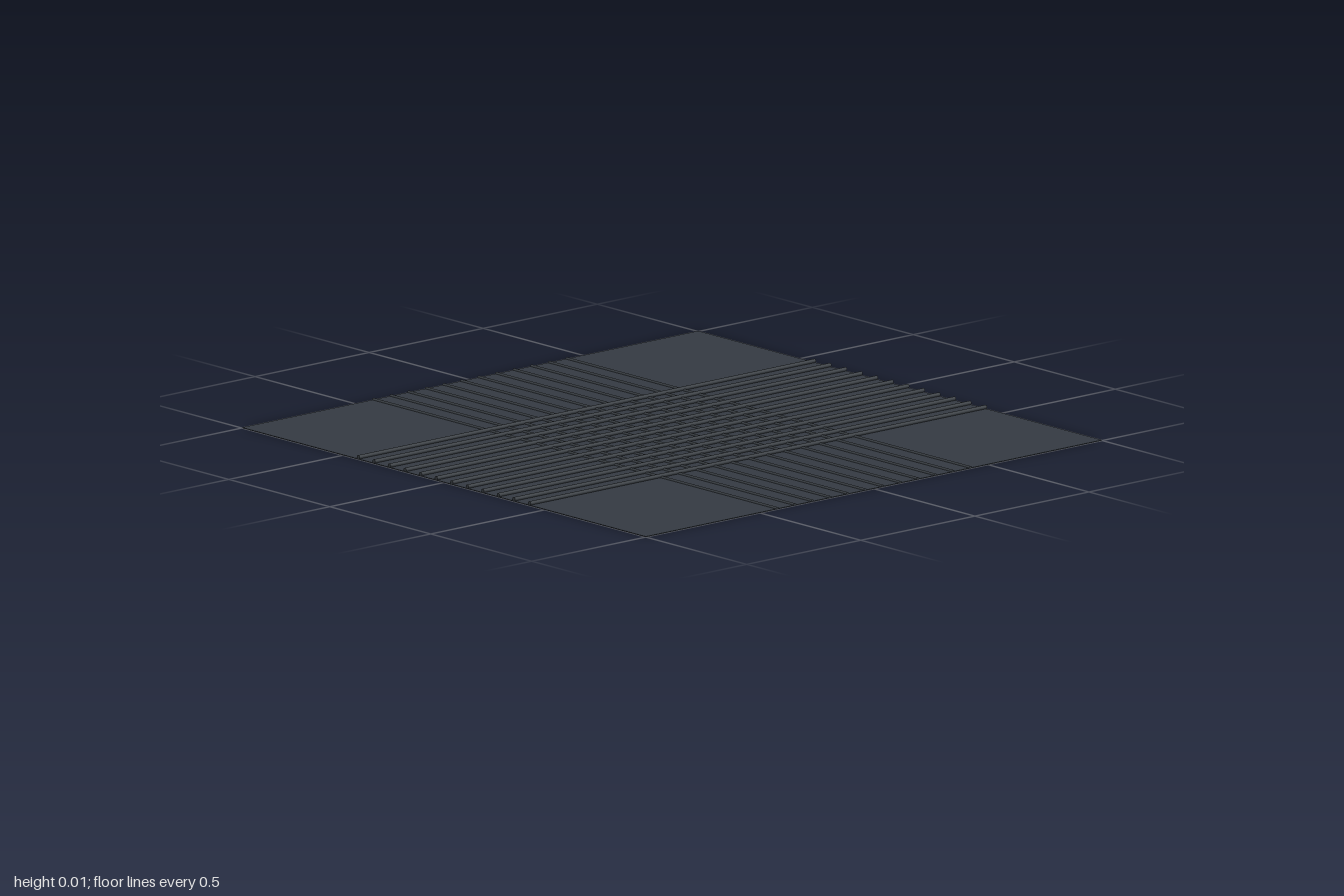
import * as THREE from 'three';

export function createModel() {
  const model = new THREE.Group();
  model.name = 'ribbedMat';

  const plateMaterial = new THREE.MeshStandardMaterial({ color: 0x343a42 });
  plateMaterial.name = 'dark slate';
  const barMaterial = new THREE.MeshStandardMaterial({ color: 0x383d42 });
  barMaterial.name = 'dark steel';

  const count = 12, pitch = 0.077, length = 2;
  const plateTop = 0.0175;

  // Thin square base sheet
  const plate = new THREE.Mesh(new THREE.BoxGeometry(2, 0.002, 2), plateMaterial);
  plate.name = 'basePlate';
  plate.position.y = plateTop - 0.001;
  model.add(plate);

  // Lower bars run front to back as half rounds lying on the sheet
  const half = new THREE.Shape();
  half.absarc(0, 0, 0.006, 0, Math.PI, false);
  const lowerGeometry = new THREE.ExtrudeGeometry(half, {
    depth: length, bevelEnabled: false, curveSegments: 8,
  });
  lowerGeometry.translate(0, 0, -length / 2);

  // Upper bars run side to side as round rods resting across the lower ones
  const upperGeometry = new THREE.CylinderGeometry(0.007, 0.007, length, 12);
  upperGeometry.rotateZ(Math.PI / 2);

  const lowerBars = new THREE.Group();
  lowerBars.name = 'lowerBars';
  const upperBars = new THREE.Group();
  upperBars.name = 'upperBars';
  for (let i = 0; i < count; i++) {
    const offset = (i - (count - 1) / 2) * pitch;

    const lower = new THREE.Mesh(lowerGeometry, barMaterial);
    lower.name = 'lowerBar';
    lower.position.set(offset, plateTop - 0.0005, 0);
    lowerBars.add(lower);

    const upper = new THREE.Mesh(upperGeometry, barMaterial);
    upper.name = 'upperBar';
    upper.position.set(0, 0.023, offset);
    upperBars.add(upper);
  }
  model.add(lowerBars, upperBars);

  return model;
}
